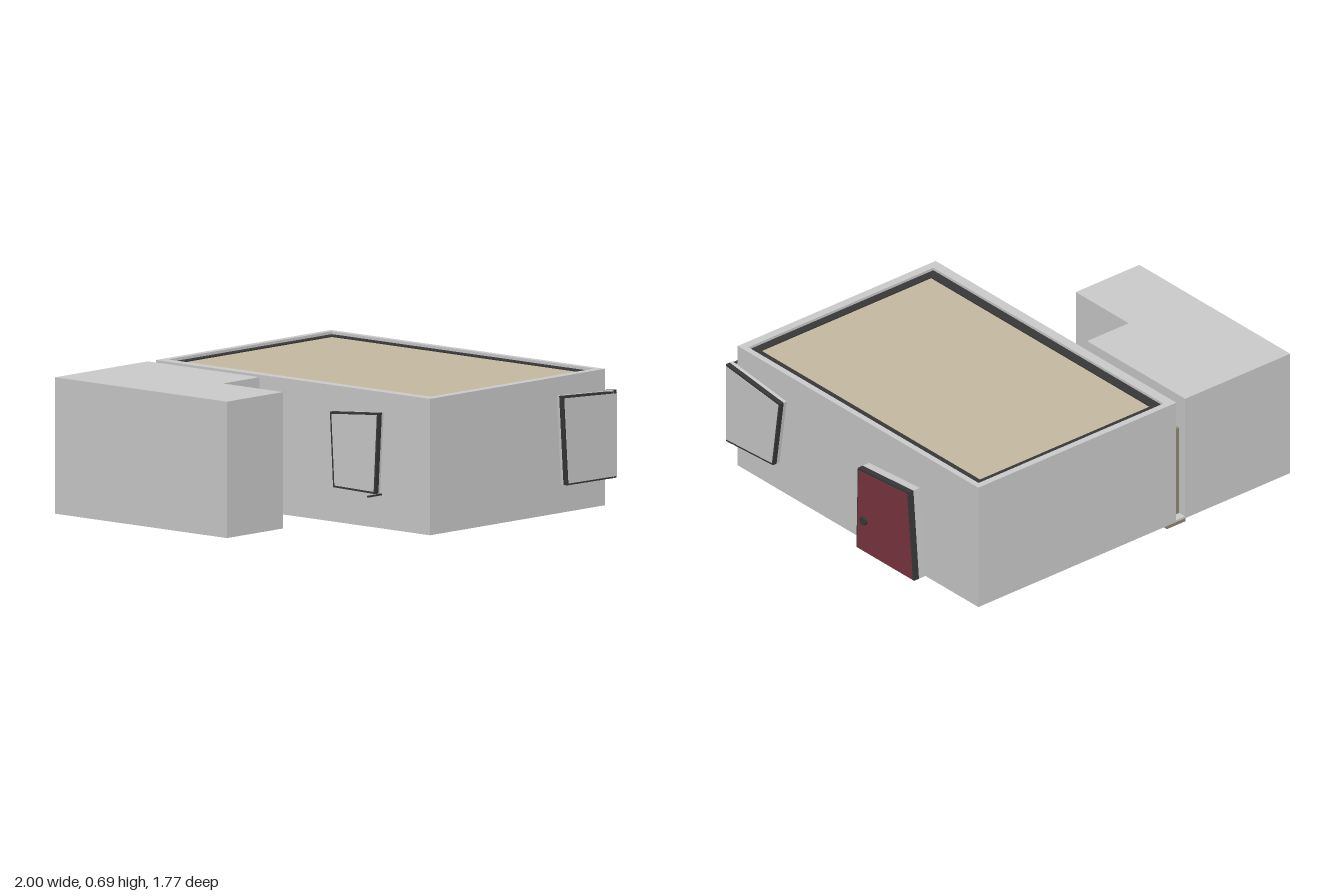
import * as THREE from 'three';

const mat = (color) => new THREE.MeshStandardMaterial({ color, flatShading: true });
const grey = mat(0xcccccc), dark = mat(0x383838), tan = mat(0xc5b9a0), wood = mat(0x928976), red = mat(0x7b3640);

export function createModel() {
  const model = new THREE.Group();

  const add = (name, geometry, material, parent = model) => {
    const mesh = new THREE.Mesh(geometry, material);
    mesh.name = name;
    parent.add(mesh);
    return mesh;
  };

  // Box given by its limits on each axis
  const box = (name, material, [x0, x1], [y0, y1], [z0, z1]) => {
    const mesh = add(name, new THREE.BoxGeometry(x1 - x0, y1 - y0, z1 - z0), material);
    mesh.position.set((x0 + x1) / 2, (y0 + y1) / 2, (z0 + z1) / 2);
    return mesh;
  };

  const shapeOf = (pts) => new THREE.Shape(pts.map(([x, y]) => new THREE.Vector2(x, y)));
  const rect = (x0, x1, y0, y1) => [[x0, y0], [x1, y0], [x1, y1], [x0, y1]];
  const extrude = (shape, depth) => new THREE.ExtrudeGeometry(shape, { depth, bevelEnabled: false });

  // Flat horizontal ring between two rectangles in x and z
  const ring = (name, material, outer, inner, y, height) => {
    const flip = ([x0, x1, z0, z1]) => rect(x0, x1, -z1, -z0);
    const shape = shapeOf(flip(outer));
    shape.holes.push(shapeOf(flip(inner)));
    const mesh = add(name, extrude(shape, height), material);
    mesh.rotation.x = -Math.PI / 2;
    mesh.position.y = y;
  };

  // Layered wall panel: grey backing, dark frame and a thin face inside the frame
  const wallPanel = (name, outline, face, faceMaterial, start, backing, frame) => {
    const group = new THREE.Group();
    group.name = name;
    const layer = (part, pts, material, from, depth) => {
      add(part, extrude(shapeOf(pts), depth), material, group).position.z = from;
    };
    layer('backing', outline, grey, start, backing);
    layer('frame', outline, dark, start + backing, frame);
    layer('face', face, faceMaterial, start + backing + frame - 0.002, 0.004);
    model.add(group);
    return group;
  };

  // Main building with a raised rim round the recessed roof
  const recess = [-0.25, 0.885, -0.852, 0.803];
  const pane = [-0.2, 0.845, -0.815, 0.76];
  box('mainBuilding', grey, [-0.3, 0.915], [0.05, 0.66], [-0.885, 0.845]);
  ring('roofRim', grey, [-0.3, 0.915, -0.885, 0.845], recess, 0.66, 0.035);
  ring('roofFrame', dark, recess, pane, 0.66, 0.022);
  box('roofPanel', tan, [pane[0], pane[1]], [0.655, 0.677], [pane[2], pane[3]]);

  // L-shaped annex
  const annex = add('annex', extrude(shapeOf([
    [-1, -0.2], [-0.61, -0.2], [-0.61, 0.18], [-0.355, 0.18], [-0.355, 0.885], [-1, 0.885],
  ]), 0.645), grey);
  annex.rotation.x = -Math.PI / 2;
  annex.position.y = 0.05;

  // Link between the two volumes, with feet under it
  box('linkFloor', grey, [-0.355, -0.3], [0.05, 0.06], [-0.885, -0.18]);
  box('linkSeat', wood, [-0.355, -0.3], [0.16, 0.21], [-0.84, -0.23]);
  box('linkBack', wood, [-0.355, -0.335], [0.21, 0.52], [-0.84, -0.23]);
  for (const z of [-0.815, -0.29]) {
    box('foot', wood, [-0.395, -0.28], [0, 0.06], [z - 0.027, z + 0.027]);
    box('post', wood, [-0.354, -0.301], [0.06, 0.52], [z - 0.027, z + 0.027]);
  }

  // Crooked window wrapping the front left corner
  wallPanel('cornerWindowFront',
    [[0.61, 0.183], [0.955, 0.18], [0.955, 0.588], [0.58, 0.608]],
    [[0.62, 0.191], [0.955, 0.188], [0.955, 0.579], [0.591, 0.597]],
    grey, 0.845, 0.015, 0.022);
  wallPanel('cornerWindowSide',
    [[-0.882, 0.18], [-0.545, 0.198], [-0.493, 0.55], [-0.882, 0.596]],
    [[-0.882, 0.19], [-0.552, 0.207], [-0.505, 0.541], [-0.882, 0.585]],
    grey, 0.915, 0.018, 0.022).rotation.y = Math.PI / 2;

  // Crooked door on the left wall
  const door = wallPanel('door',
    [[0.09, 0.05], [0.505, 0.05], [0.465, 0.508], [0.1, 0.482]],
    [[0.097, 0.052], [0.496, 0.052], [0.456, 0.498], [0.108, 0.472]],
    red, 0.915, 0.04, 0.03);
  door.rotation.y = Math.PI / 2;
  const knob = add('doorKnob', new THREE.CylinderGeometry(0.022, 0.022, 0.016, 16), dark, door);
  knob.rotation.x = Math.PI / 2;
  knob.position.set(0.15, 0.22, 0.992);

  // Small window on the right wall
  wallPanel('rightWindow',
    [[0.265, 0.22], [0.53, 0.215], [0.552, 0.6], [0.245, 0.575]],
    [[0.275, 0.229], [0.521, 0.225], [0.541, 0.59], [0.256, 0.566]],
    grey, 0.3, 0.012, 0.023).rotation.y = -Math.PI / 2;
  box('windowSill', dark, [-0.395, -0.3], [0.207, 0.215], [0.535, 0.543]);

  return model;
}
